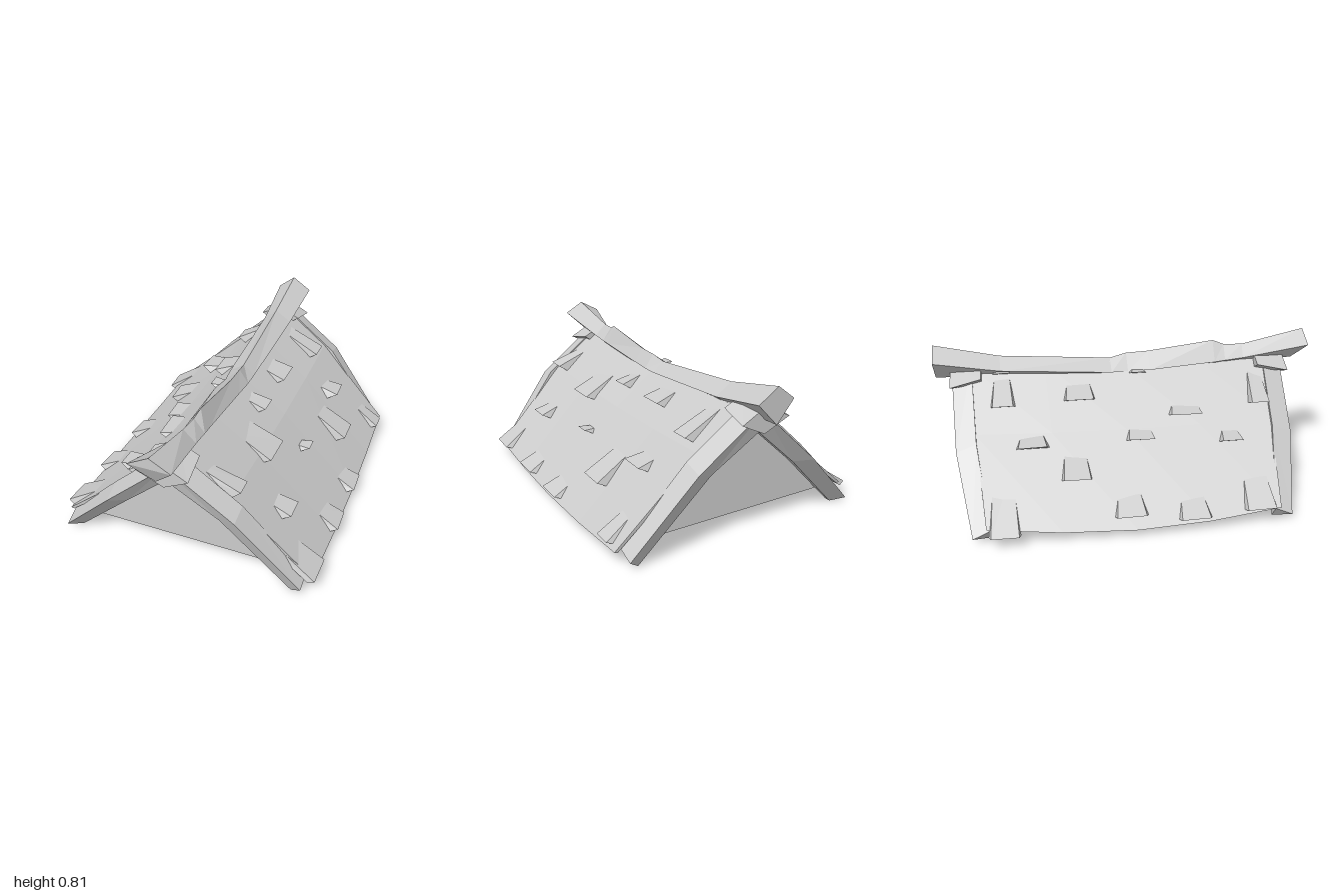
import * as THREE from 'three';

const grey = new THREE.MeshStandardMaterial({ color: 0xcccccc, flatShading: true, side: THREE.DoubleSide });

// Solid skinned over equal-sized rings of [x, y, z], capped at both ends
function loft(name, rings) {
  const n = rings[0].length, tris = [];
  const quad = (a, b, c, d) => tris.push([a, b, c], [a, c, d]);
  for (let i = 0; i < rings.length - 1; i++) {
    for (let j = 0; j < n; j++) {
      const k = (j + 1) % n;
      quad(rings[i][j], rings[i][k], rings[i + 1][k], rings[i + 1][j]);
    }
  }
  const first = rings[0], last = rings[rings.length - 1];
  for (let k = 0; k < n / 2 - 1; k++) {
    quad(last[k], last[k + 1], last[n - 2 - k], last[n - 1 - k]);
    quad(first[n - 1 - k], first[n - 2 - k], first[k + 1], first[k]);
  }
  // Turn the faces outward whichever way the rings run
  const v = (p) => new THREE.Vector3(...p);
  const volume = tris.reduce((s, [a, b, c]) => s + v(a).dot(v(b).cross(v(c))), 0);
  if (volume < 0) tris.forEach((t) => t.reverse());
  const geo = new THREE.BufferGeometry();
  geo.setAttribute('position', new THREE.Float32BufferAttribute(tris.flat(2), 3));
  geo.computeVertexNormals();
  const mesh = new THREE.Mesh(geo, grey);
  mesh.name = name;
  return mesh;
}

// Roof shape: left slope (+x) is kinked, right slope nearly straight; both sag along z
const KINK = 0.28, APEX = 0.695;
const SLOPE = { '1': [0.76, 1.0], '-1': [0.99, 0.86] }; // upper and lower steepness
const sag = (z) => 0.024 * Math.max(0, 1 - (z / 0.78) ** 2);
function slopeY(side, x, z) {
  const [upper, lower] = SLOPE[side];
  return APEX - Math.min(x, KINK) * upper - Math.max(0, x - KINK) * lower - sag(z);
}

function roofSlope(side) {
  const rings = [];
  for (let i = 0; i <= 4; i++) {
    const t = i / 4, zm = -0.83 + 1.62 * t;
    const eave = (side > 0 ? 0.685 : 0.66) + (side > 0 ? 0.01 : 0.03) * Math.sin(Math.PI * t);
    const top = [0, KINK, eave].map((x) => {
      const z = zm * (1 - 0.09 * x / 0.7); // ends draw in toward the eave
      return [side * x, slopeY(side, x, z), z];
    });
    const under = top.map(([x, y, z], k) => (k === 2 ? [x * 0.975, y - 0.005, z] : [x, y - 0.03, z])).reverse();
    rings.push([...top, ...under]);
  }
  return loft(side > 0 ? 'leftRoofSlope' : 'rightRoofSlope', rings);
}

// Barge board: [top x, top y, under x, under y, outer z, inner z] from apex to foot
function bargeBoard(side, end) {
  const shift = end < 0 ? 0.04 : 0;
  const drop = side > 0 ? 0 : 0.06; // straight side has no bulge at mid-length
  const [bevel, undercut] = side > 0 ? [0.015, 0.03] : [0.03, 0.06];
  const rings = [
    [0, 0.69, 0, 0.56, 0.875, 0.77],
    [0.335, 0.44 - drop, 0.25, 0.395 - drop, 0.86, 0.755],
    [0.645, 0.062, 0.59, 0, 0.79, 0.70],
  ].map(([tx, ty, ux, uy, zo, zi]) => [
    [side * tx, ty - bevel, end * (zo + shift)],
    [side * ux, uy, end * (zo + shift - undercut)],
    [side * ux, uy, end * (zi + shift)],
    [side * tx, ty + 0.012, end * (zi + shift)],
  ]);
  return loft('bargeBoard', rings);
}

// Shingle tilted through the slope: lower edge lifted, upper edge buried
function shingle(side, x0, x1, z0, z1, i) {
  const xm = (x0 + x1) / 2, zm = (z0 + z1) / 2;
  const angle = Math.atan(SLOPE[side][xm < KINK ? 0 : 1]);
  const c = Math.cos(angle), s = Math.sin(angle), len = (x1 - x0) / c;
  const y = slopeY(side, xm, zm);
  const h = (0.044 + 0.004 * (i % 3)) * (x1 > 0.65 ? 0.6 : 1); // eave shingles lie flatter
  const at = (d, n, z) => [side * (xm + d * c + n * s), y - d * s + n * c, z];
  const skew = 0.012 * ((i % 3) - 1);
  const low = len / 2 - h * s / c * 0.7, high = -len * 0.95;
  const ring = (d, n, thick, inset, undercut) => [
    at(d, n, z0 + inset + 0.012), at(d, n + skew * 0.5, z1 - inset - 0.012),
    at(d - undercut, n - thick, z1 - inset + skew * 0.3), at(d - undercut, n - thick, z0 + inset),
  ];
  return loft('shingle', [ring(low, h, h + 0.008, 0, 0.02), ring(high, -h * 0.6, 0.035, 0.02, 0)]);
}

// Plan extents of the shingles on each side: [inner x, outer x, back z, front z]
const SHINGLES = {
  '-1': [
    [0.50, 0.71, -0.75, -0.59], [0.06, 0.21, -0.72, -0.59], [0.30, 0.38, -0.60, -0.43],
    [0.37, 0.51, -0.38, -0.22], [0.09, 0.19, -0.34, -0.17], [0.56, 0.66, -0.13, 0.04],
    [0.28, 0.36, -0.03, 0.13], [0.04, 0.09, 0.02, 0.12], [0.59, 0.69, 0.19, 0.36],
    [0.20, 0.27, 0.21, 0.40], [0.32, 0.40, 0.46, 0.59], [0.53, 0.68, 0.53, 0.70],
    [0.08, 0.25, 0.65, 0.77],
  ],
  '1': [
    [0.07, 0.28, -0.72, -0.59], [0.56, 0.69, -0.71, -0.59], [0.37, 0.45, -0.59, -0.44],
    [0.09, 0.21, -0.35, -0.18], [0.40, 0.57, -0.39, -0.22], [0.62, 0.70, -0.14, 0.03],
    [0.10, 0.21, 0.01, 0.13], [0.40, 0.45, 0, 0.10], [0.61, 0.70, 0.20, 0.37],
    [0.22, 0.34, 0.20, 0.40], [0.42, 0.51, 0.45, 0.59], [0.15, 0.31, 0.64, 0.76],
    [0.57, 0.70, 0.58, 0.76],
  ],
};

// Diamond cross-section: right, top, left and bottom corners
const diamond = (z, xr, xl, top, mid, bottom, cx = 0, bottomZ = z) =>
  [[xr, mid, z], [cx, top, z], [xl, mid, z], [cx, bottom, bottomZ]];

export function createModel() {
  const model = new THREE.Group();
  model.name = 'thatchRoof';

  for (const side of [-1, 1]) {
    model.add(roofSlope(side), bargeBoard(side, 1), bargeBoard(side, -1));
    const group = new THREE.Group();
    group.name = side > 0 ? 'leftShingles' : 'rightShingles';
    SHINGLES[side].forEach((p, i) => group.add(shingle(side, ...p, i)));
    model.add(group);
  }

  // Rough-hewn ridge beam with upswept ends
  model.add(loft('ridgeBeam', [
    diamond(-1, -0.09, 0.105, 0.81, 0.74, 0.63),
    diamond(-0.66, -0.07, 0.09, 0.735, 0.675, 0.62),
    diamond(-0.07, -0.06, 0.08, 0.685, 0.63, 0.61, 0.02),
    diamond(0.02, -0.05, 0.08, 0.705, 0.63, 0.61, 0.03),
    diamond(0.14, -0.065, 0.075, 0.71, 0.635, 0.61, 0.03),
    diamond(0.50, -0.05, 0.065, 0.757, 0.655, 0.61, 0.02),
    diamond(0.56, -0.045, 0.065, 0.735, 0.66, 0.61, 0.01),
    diamond(0.66, -0.045, 0.065, 0.735, 0.67, 0.62),
    diamond(1, -0.11, 0.105, 0.81, 0.75, 0.645, 0, 0.95),
  ]));

  // Short blocks under the beam where the boards meet, dipping outward
  for (const [inner, outer] of [[0.72, 0.885], [-0.76, -0.92]]) {
    model.add(loft('ridgeBlock', [
      diamond(inner, -0.12, 0.11, 0.71, 0.655, 0.58),
      diamond(outer, -0.14, 0.125, 0.69, 0.622, 0.56),
    ]));
  }

  // Gable walls
  const shape = new THREE.Shape([[-0.54, 0.085], [0.56, 0.085], [0.27, 0.42], [0, 0.63], [-0.27, 0.365]]
    .map(([x, y]) => new THREE.Vector2(x, y)));
  for (const z of [0.70, -0.74]) {
    const gable = new THREE.Mesh(new THREE.ShapeGeometry(shape), grey);
    gable.name = z > 0 ? 'frontGable' : 'backGable';
    gable.position.z = z;
    if (z < 0) gable.scale.z = -1; // faces backward
    model.add(gable);
  }
  return model;
}
